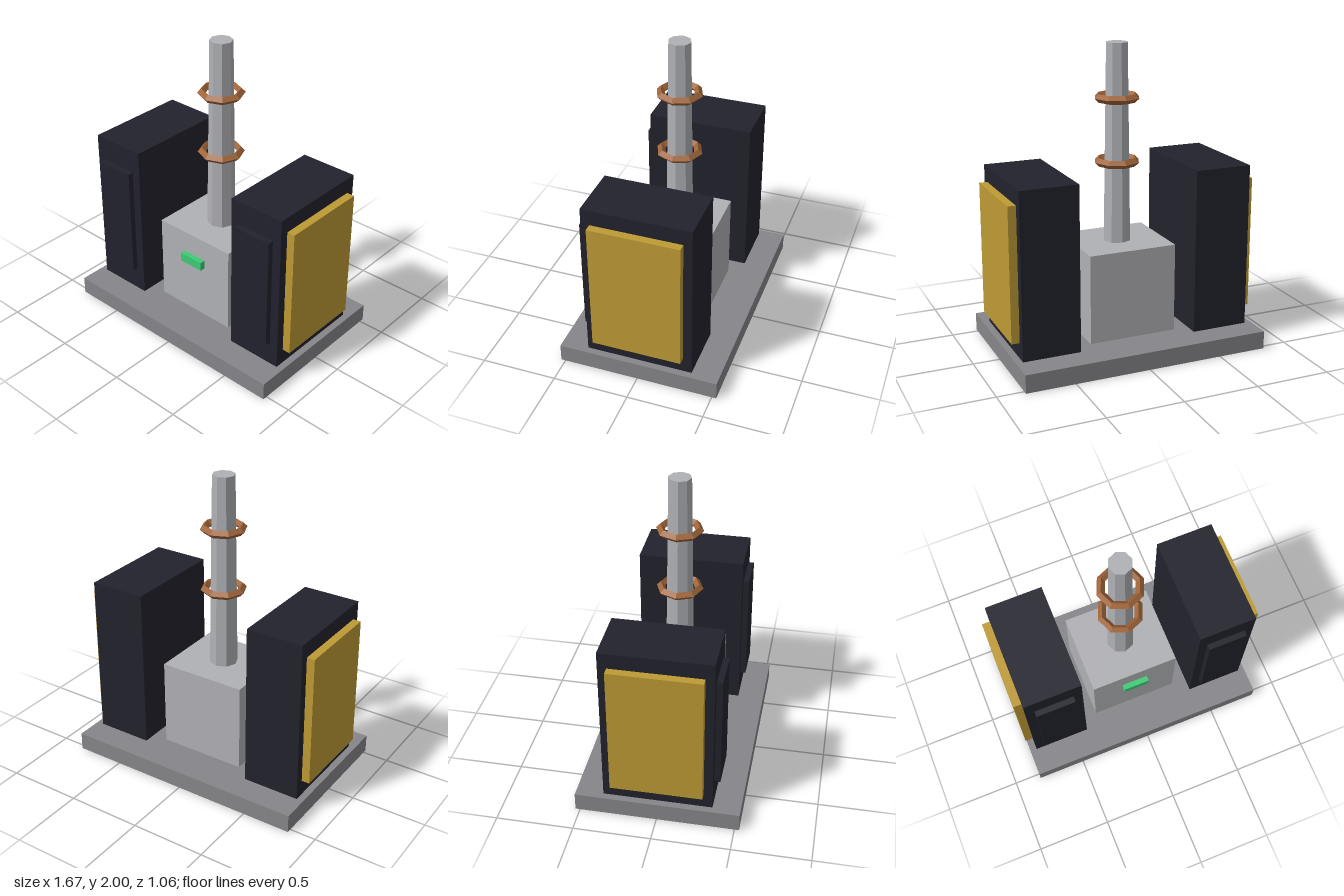
import * as THREE from 'three';

function material(name, color) {
  const m = new THREE.MeshStandardMaterial({ color, flatShading: true });
  m.name = name;
  return m;
}

export function createModel() {
  const group = new THREE.Group();
  const baseGrey = material('base grey', 0x86868a);
  const lightGrey = material('light grey', 0xb0b1b5);
  const navy = material('dark navy', 0x22222d);
  const gold = material('gold', 0xbe9a35);
  const copper = material('copper', 0xa0653a);
  const green = material('indicator green', 0x3fcb76);

  const add = (name, geometry, mat) => {
    const mesh = new THREE.Mesh(geometry, mat);
    mesh.name = name;
    group.add(mesh);
    return mesh;
  };
  // Box given by its extents on each axis
  const box = (name, [x0, x1], [y0, y1], [z0, z1], mat) =>
    add(name, new THREE.BoxGeometry(x1 - x0, y1 - y0, z1 - z0), mat)
      .position.set((x0 + x1) / 2, (y0 + y1) / 2, (z0 + z1) / 2);

  // Base slab and central housing
  box('baseSlab', [-0.825, 0.825], [0, 0.12], [-0.53, 0.53], baseGrey);
  box('housing', [-0.295, 0.295], [0.12, 0.71], [-0.264, 0.264], lightGrey);
  box('indicator', [-0.088, 0.088], [0.5, 0.56], [0.264, 0.3], green);

  // Tapered octagonal mast with two rings
  add('mast', new THREE.CylinderGeometry(0.073, 0.093, 1.29, 8), lightGrey).position.y = 1.355;
  for (const y of [1.237, 1.65]) {
    const ring = new THREE.TorusGeometry(0.124, 0.027, 4, 8).rotateX(Math.PI / 2);
    add('mastRing', ring, copper).position.y = y;
  }

  // Side cabinets with front doors and outer panels
  for (const [side, s] of [['left', 1], ['right', -1]]) {
    const span = (a, b) => (s > 0 ? [a, b] : [-b, -a]);
    box(side + 'Cabinet', span(0.398, 0.78), [0.12, 1.21], [-0.352, 0.352], navy);
    box(side + 'Door', span(0.458, 0.72), [0.285, 1.047], [0.352, 0.39], navy);
    box(side + 'Panel', span(0.78, 0.833), [0.225, 1.107], [-0.295, 0.295], gold);
  }
  return group;
}
